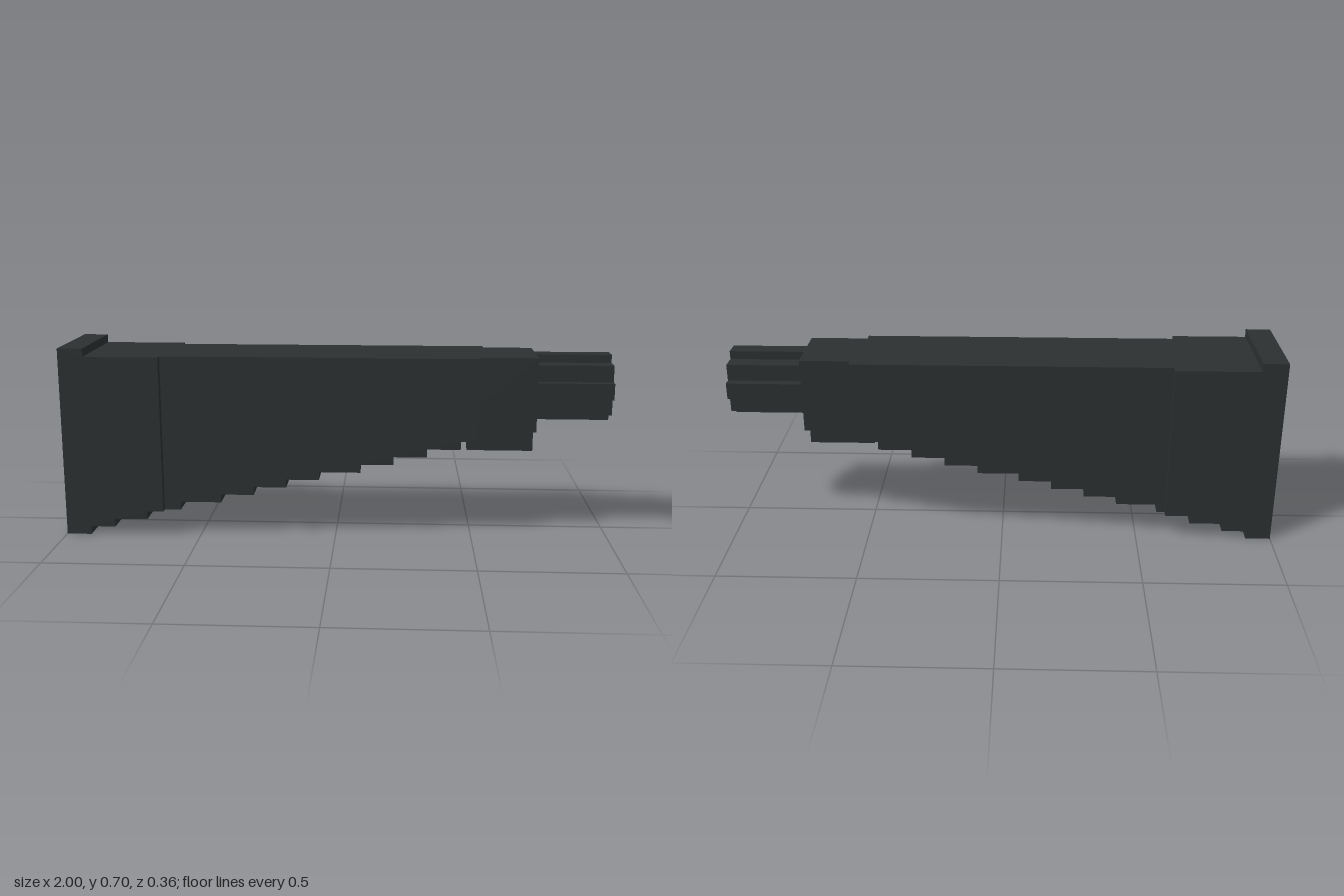
import * as THREE from 'three';

const U = 2 / 66; // one block of the grid
const material = new THREE.MeshStandardMaterial({ color: 0x2b3030, flatShading: true });

// right end of each underside step; step i lies i blocks above the ground
const STEPS = [3, 6, 10, 14, 19, 23, 27, 31, 36, 40, 44, 48, 52, 57];

// side outline of the tapering body, cut off at x = end
function bodyProfile(end) {
  const pts = [[0, 23], [0, 0]];
  for (let i = 0; i < STEPS.length; i++) {
    const x = Math.min(STEPS[i], end);
    pts.push([x, i]);
    if (x === end) break;
    pts.push([x, i + 1]);
  }
  pts.push([end, 22], [3, 22], [3, 23]);
  return toShape(pts);
}

function toShape(pts) {
  return new THREE.Shape(pts.map(([x, y]) => new THREE.Vector2(x, y)));
}

function extrude(shape, depth) {
  return new THREE.ExtrudeGeometry(shape, { depth, bevelEnabled: false });
}

export function createModel() {
  const group = new THREE.Group();
  const blocks = new THREE.Group();
  blocks.scale.setScalar(U);
  blocks.position.x = -1;
  group.add(blocks);

  const add = (name, geometry) => {
    const mesh = new THREE.Mesh(geometry, material);
    mesh.name = name;
    blocks.add(mesh);
    return mesh;
  };

  // body layers: name, near z, far z, right end
  const layers = [
    ['bodyCore', -4, 4, 57],
    ['frontSidePanel', 4, 5, 50],
    ['backSidePanel', -5, -4, 51],
    ['frontButtPanel', 5, 6, 12],
    ['backButtPanel', -6, -5, 13],
  ];
  for (const [name, z0, z1, end] of layers) {
    add(name, extrude(bodyProfile(end), z1 - z0)).position.z = z0;
  }

  // fin under the narrow end, following the two steps above it
  const fin = toShape([[49, 10], [57, 10], [57, 13], [52, 13], [52, 12], [49, 12]]);
  add('underFin', extrude(fin, 2)).position.z = -1;

  // stepped cross-shaped tube with a square bore; one quarter, turned four times
  const ring = [];
  for (let q = 0; q < 4; q++) {
    for (const [x, y] of [[4, -1], [4, 1], [3, 1], [3, 3], [1, 3]]) {
      const c = [1, 0, -1, 0][q], s = [0, 1, 0, -1][q];
      ring.push([x * c - y * s, x * s + y * c]);
    }
  }
  const section = toShape(ring);
  section.holes.push(toShape([[-2, -2], [-2, 2], [2, 2], [2, -2]]));
  const tube = add('endTube', extrude(section, 9));
  tube.rotation.y = Math.PI / 2;
  tube.position.set(57, 18, 0);

  return group;
}
